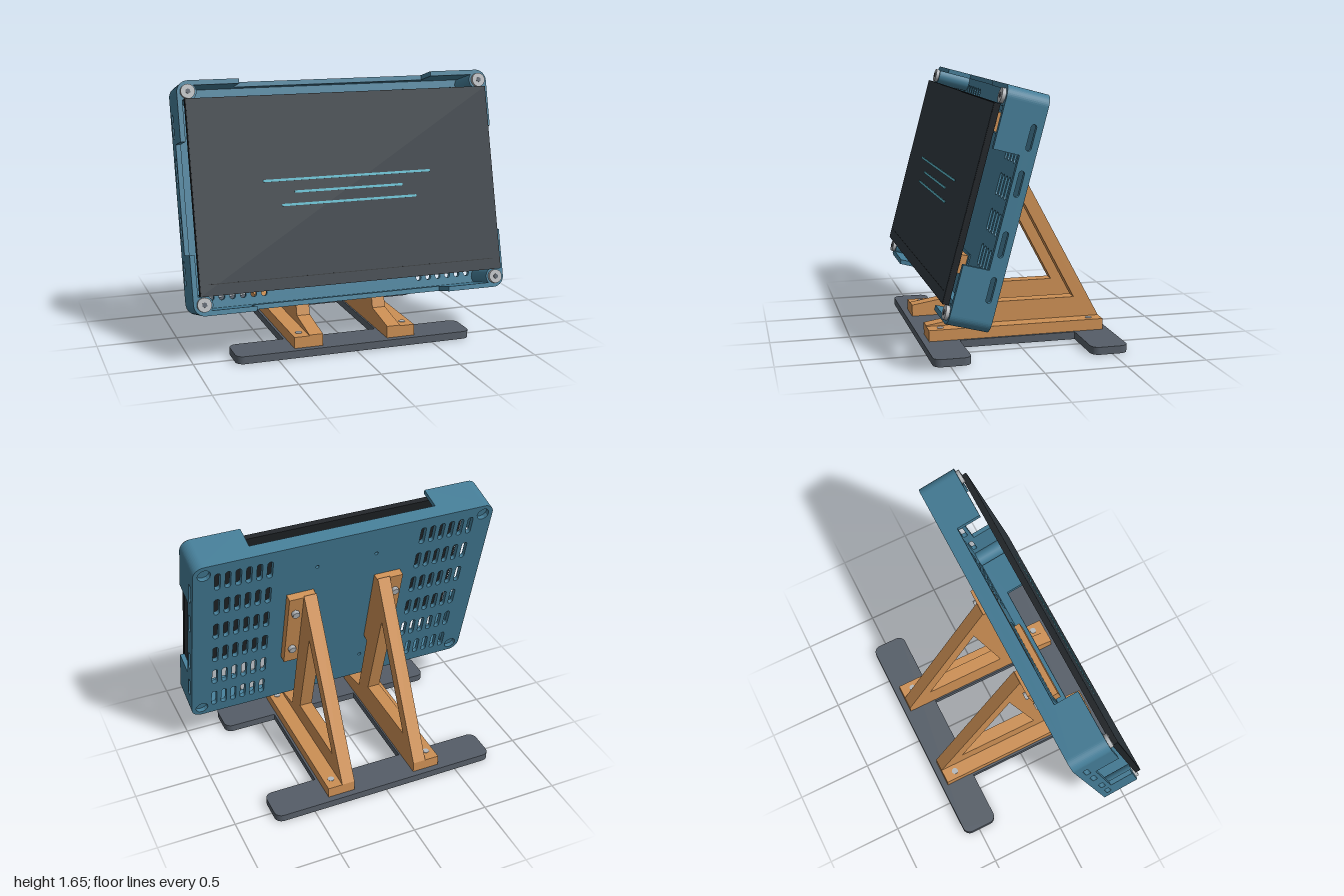
import * as THREE from 'three';

const mat = (name, color, extra = {}) => Object.assign(new THREE.MeshStandardMaterial({ color, ...extra }), { name });

export function createModel() {
  const teal = mat('teal shell', 0x447c96);
  const orange = mat('orange stand', 0xcc8f54);
  const grey = mat('slate base', 0x555d67);
  const black = mat('black panel', 0x1f2327);
  const glass = mat('screen glass', 0x2f383f);
  const cyan = mat('cyan lines', 0x5fb9cb);
  const silver = mat('silver screws', 0xb4b7ba);

  const model = new THREE.Group();
  model.name = 'displayOnStand';

  const add = (parent, name, geo, material, x = 0, y = 0, z = 0, rx = 0, ry = 0) => {
    const m = new THREE.Mesh(geo, material);
    m.name = name;
    m.position.set(x, y, z);
    m.rotation.set(rx, ry, 0);
    parent.add(m);
    return m;
  };
  // box given by its min and max corners
  const box = (parent, name, material, x0, x1, y0, y1, z0, z1) =>
    add(parent, name, new THREE.BoxGeometry(x1 - x0, y1 - y0, z1 - z0), material,
      (x0 + x1) / 2, (y0 + y1) / 2, (z0 + z1) / 2);
  const extrude = (shape, depth) =>
    new THREE.ExtrudeGeometry(shape, { depth, bevelEnabled: false, curveSegments: 6 });
  const poly = pts => new THREE.Shape(pts.map(p => new THREE.Vector2(p[0], p[1])));
  const roundRect = (x0, x1, y0, y1, r) => {
    const s = new THREE.Shape();
    s.absarc(x1 - r, y1 - r, r, 0, Math.PI / 2);
    s.absarc(x0 + r, y1 - r, r, Math.PI / 2, Math.PI);
    s.absarc(x0 + r, y0 + r, r, Math.PI, Math.PI * 1.5);
    s.absarc(x1 - r, y0 + r, r, Math.PI * 1.5, Math.PI * 2);
    s.closePath();
    return s;
  };
  const slot = (cx, cy, w, h) => roundRect(cx - w / 2, cx + w / 2, cy - h / 2, cy + h / 2, w / 2 - 0.0005);
  const circle = (cx, cy, r) => new THREE.Path().absarc(cx, cy, r, 0, Math.PI * 2);

  // ---- tilted display: y runs up the back, z points out of the screen ----
  const H = 1.387, D = 0.249, MID = 0.094, T = 0.03, R = 0.07, BLOCK = 0.362;
  const display = new THREE.Group();
  display.name = 'display';
  display.position.set(0, 0.25, 0.33);
  display.rotation.x = -Math.PI / 12;
  model.add(display);

  // back plate with vent slots, corner screw wells and mounting holes
  const back = roundRect(-1, 1, 0, H, R);
  for (const s of [-1, 1]) {
    for (let c = 0; c < 6; c++)
      for (let r = 0; r < 6; r++)
        back.holes.push(slot(s * (0.513 + c * 0.0665), 0.143 + r * 0.22, 0.036, 0.135));
    for (const y of [0.07, H - 0.07]) back.holes.push(circle(s * 0.93, y, 0.042));
    for (const y of [0.21, H - 0.21]) back.holes.push(circle(s * 0.2, y, 0.012));
  }
  add(display, 'backPlate', extrude(back, T), teal);

  // side walls, stepped low in the middle, with four slots each
  const side = poly([[T, R], [D, R], [D, BLOCK], [MID, BLOCK], [MID, H - BLOCK],
    [D, H - BLOCK], [D, H - R], [T, H - R]]);
  for (const y of [0.253, 0.518, H - 0.518, H - 0.253]) side.holes.push(slot(0.054, y, 0.032, 0.15));
  for (const x of [1, -1 + T]) add(display, 'sideWall', extrude(side, T), teal, x, 0, 0, 0, -Math.PI / 2);

  // top and bottom walls, cut low between the corner blocks
  const rail = poly([[-1 + R, T], [1 - R, T], [1 - R, D], [0.62, D], [0.62, MID],
    [-0.62, MID], [-0.62, D], [-1 + R, D]]);
  for (const y of [H, T]) add(display, 'endWall', extrude(rail, T), teal, 0, y, 0, Math.PI / 2);

  // rounded corners, screw posts and screws
  const corners = [[1, 1, 0], [-1, 1, 1], [-1, -1, 2], [1, -1, 3]];
  const disc = (r, h, n = 24) => new THREE.CylinderGeometry(r, r, h, n);
  for (const [sx, sy, q] of corners) {
    const a = q * Math.PI / 2, b = a + Math.PI / 2;
    const arc = new THREE.Shape();
    arc.absarc(0, 0, R, a, b, false);
    arc.absarc(0, 0, R - T, b, a, true);
    const x = sx * (1 - R), y = sy > 0 ? H - R : R;
    add(display, 'cornerWall', extrude(arc, D - T), teal, x, y, T);
    const px = sx * 0.938, py = sy > 0 ? H - 0.067 : 0.067;
    add(display, 'screwPost', disc(0.056, D - T), teal, px, py, (D + T) / 2, Math.PI / 2);
    add(display, 'washer', disc(0.043, 0.022), silver, px, py, D + 0.011, Math.PI / 2);
    add(display, 'screwSocket', disc(0.016, 0.004, 6), grey, px, py, D + 0.023, Math.PI / 2);
  }

  // inner clips at top and bottom
  for (const y0 of [0.18, H - 0.3]) {
    box(display, 'clipTray', teal, -0.31, 0.31, y0 - 0.015, y0 + 0.135, T, 0.038);
    box(display, 'innerClip', orange, -0.28, 0.28, y0, y0 + 0.12, 0.038, 0.078);
  }

  // screen panel with its glass and glowing lines
  box(display, 'screenPanel', black, -0.965, 0.965, 0.115, 1.274, 0.262, 0.298);
  box(display, 'screenGlass', glass, -0.962, 0.962, 0.118, 1.271, 0.298, 0.300);
  box(display, 'screenBorder', black, -0.912, 0.912, 0.181, 0.185, 0.300, 0.301);
  for (const [y, w] of [[0.763, 0.537], [0.688, 0.347], [0.613, 0.432]])
    add(display, 'screenLine', extrude(roundRect(-w, w, y - 0.007, y + 0.007, 0.006), 0.003), cyan, 0, 0, 0.300);

  // ---- stand legs ----
  const leg = poly([[0.56, 0.05], [0.56, 0.125], [0.302, 0.167], [0.035, 1.163], [0.022, 1.2],
    [-0.56, 0.12], [-0.56, 0.05]]);
  leg.holes.push(poly([[-0.045, 0.91], [0.15, 0.25], [-0.395, 0.25]]));
  for (const s of [-1, 1]) {
    const stand = new THREE.Group();
    stand.name = s > 0 ? 'leftLeg' : 'rightLeg';
    model.add(stand);
    add(stand, 'triangleFrame', extrude(leg, 0.085), orange, s > 0 ? 0.295 : -0.21, 0, 0, 0, -Math.PI / 2);
    const [f0, f1] = s > 0 ? [0.295, 0.39] : [-0.39, -0.295];
    box(stand, 'footFlange', orange, f0, f1, 0.05, 0.12, -0.56, 0.56);
    for (const z of [-0.48, 0.48]) {
      add(stand, 'footScrew', disc(0.021, 0.004, 16), silver, s * 0.34, 0.121, z);
      add(stand, 'baseScrew', disc(0.026, 0.006, 16), silver, s * 0.34, 0.003, z);
    }
    // mounting flange and its screws, tilted with the display
    const mount = new THREE.Group();
    mount.name = 'mount';
    mount.position.copy(display.position);
    mount.rotation.copy(display.rotation);
    stand.add(mount);
    const [m0, m1] = s > 0 ? [0.21, 0.39] : [-0.39, -0.21];
    box(mount, 'mountFlange', orange, m0, m1, 0.40, 0.985, -0.052, 0);
    for (const y of [0.53, 0.862])
      add(mount, 'mountScrew', disc(0.026, 0.03, 6), silver, s * 0.345, y, -0.064, Math.PI / 2);
  }

  // ---- H-shaped base ----
  for (const s of [-1, 1]) {
    const [z0, z1] = s > 0 ? [0.37, 0.6] : [-0.6, -0.37];
    add(model, s > 0 ? 'frontFoot' : 'rearFoot', extrude(roundRect(-0.757, 0.757, z0, z1, 0.05), 0.047),
      grey, 0, 0.05, 0, Math.PI / 2);
    const [x0, x1] = s > 0 ? [0.2, 0.405] : [-0.405, -0.2];
    box(model, 'baseStrip', grey, x0, x1, 0.003, 0.05, -0.375, 0.375);
    for (const x of [-0.66, 0.66]) add(model, 'footPad', disc(0.05, 0.004), grey, x, 0.002, s * 0.485);
  }
  return model;
}
